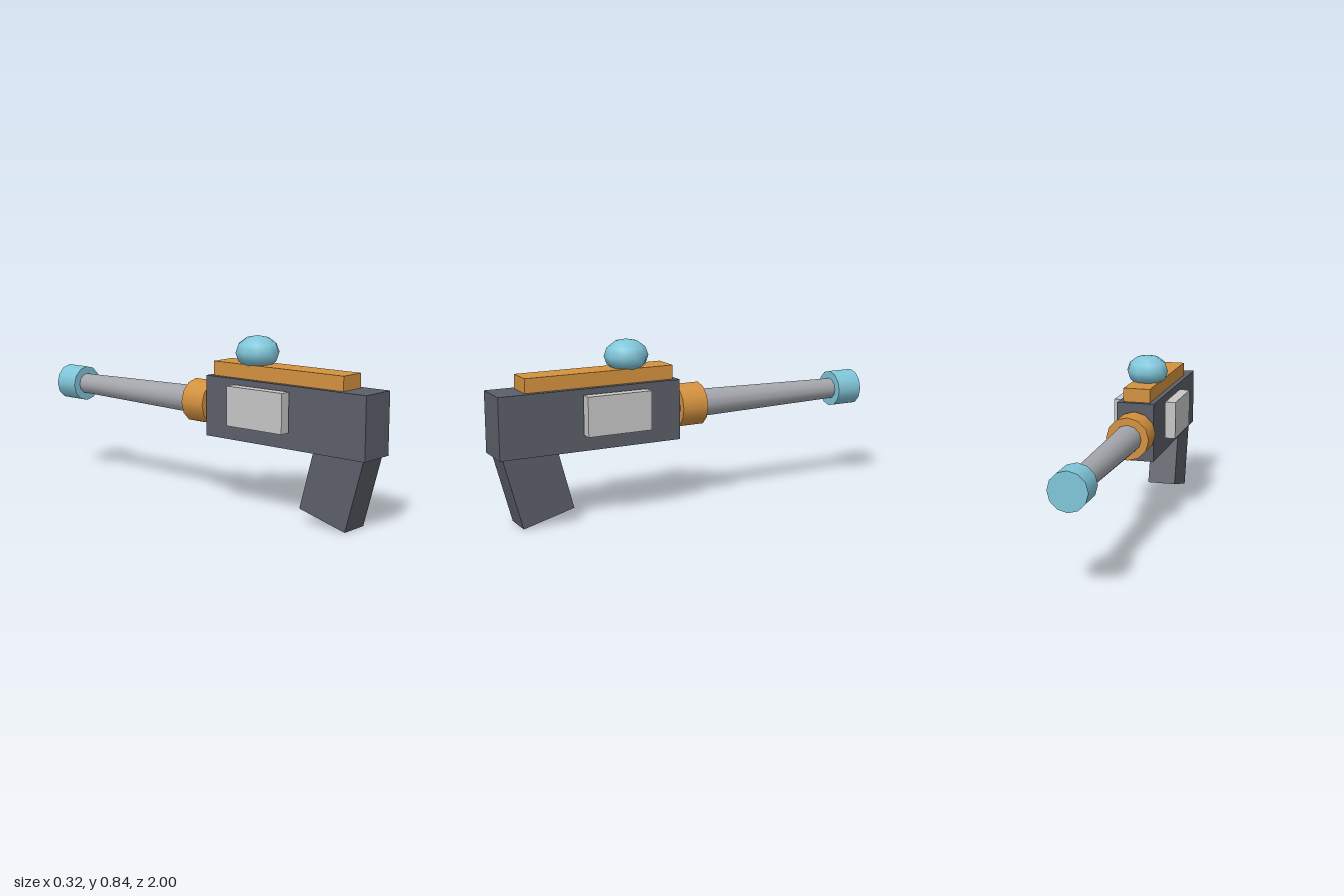
import * as THREE from 'three';

const mat = (name, color) => {
  const m = new THREE.MeshStandardMaterial({ color });
  m.name = name;
  return m;
};

export function createModel() {
  const group = new THREE.Group();
  const charcoal = mat('charcoal', 0x5c5f69);
  const orange = mat('orange', 0xd4923f);
  const cyan = mat('cyan', 0x80c6da);
  const steel = mat('steel', 0xa4a6ac);
  const paleGrey = mat('paleGrey', 0xc6c6c6);
  const axisY = 0.493; // height of the barrel's axis

  const add = (name, geometry, material, x, y, z) => {
    const mesh = new THREE.Mesh(geometry, material);
    mesh.name = name;
    mesh.position.set(x, y, z);
    group.add(mesh);
    return mesh;
  };

  // Box given by its width and its y and z ranges
  const box = (name, material, w, y0, y1, z0, z1, x = 0) =>
    add(name, new THREE.BoxGeometry(w, y1 - y0, z1 - z0), material, x, (y0 + y1) / 2, (z0 + z1) / 2);

  // Twelve-sided cylinder along z, from z0 (back, radius r0) to z1 (radius r1)
  const tube = (name, material, r0, r1, z0, z1) =>
    add(name, new THREE.CylinderGeometry(r1, r0, z1 - z0, 12).rotateX(Math.PI / 2),
      material, 0, axisY, (z0 + z1) / 2);

  // Body and top rail
  box('body', charcoal, 0.189, 0.345, 0.641, 0.08, 1);
  box('topRail', orange, 0.136, 0.641, 0.71, 0.105, 0.862);

  // Slanted grip
  const grip = add('grip', new THREE.BoxGeometry(0.149, 0.36, 0.264), charcoal, 0, 0.21, 0.808);
  grip.rotation.x = Math.PI / 12;

  // Side plates, standing clear of the body
  for (const [name, side] of [['leftPlate', 1], ['rightPlate', -1]]) {
    box(name, paleGrey, 0.054, 0.425, 0.615, 0.265, 0.591, side * 0.135);
  }

  // Tapered barrel with collar and tip
  tube('barrel', steel, 0.053, 0.074, -0.9, 0.1);
  tube('collar', orange, 0.108, 0.108, -0.071, 0.064);
  tube('tip', cyan, 0.092, 0.092, -1, -0.865);

  // Flattened dome on the rail
  const dome = add('dome', new THREE.SphereGeometry(0.108, 10, 6), cyan, 0, 0.764, 0.32);
  dome.scale.y = 0.75;

  return group;
}
